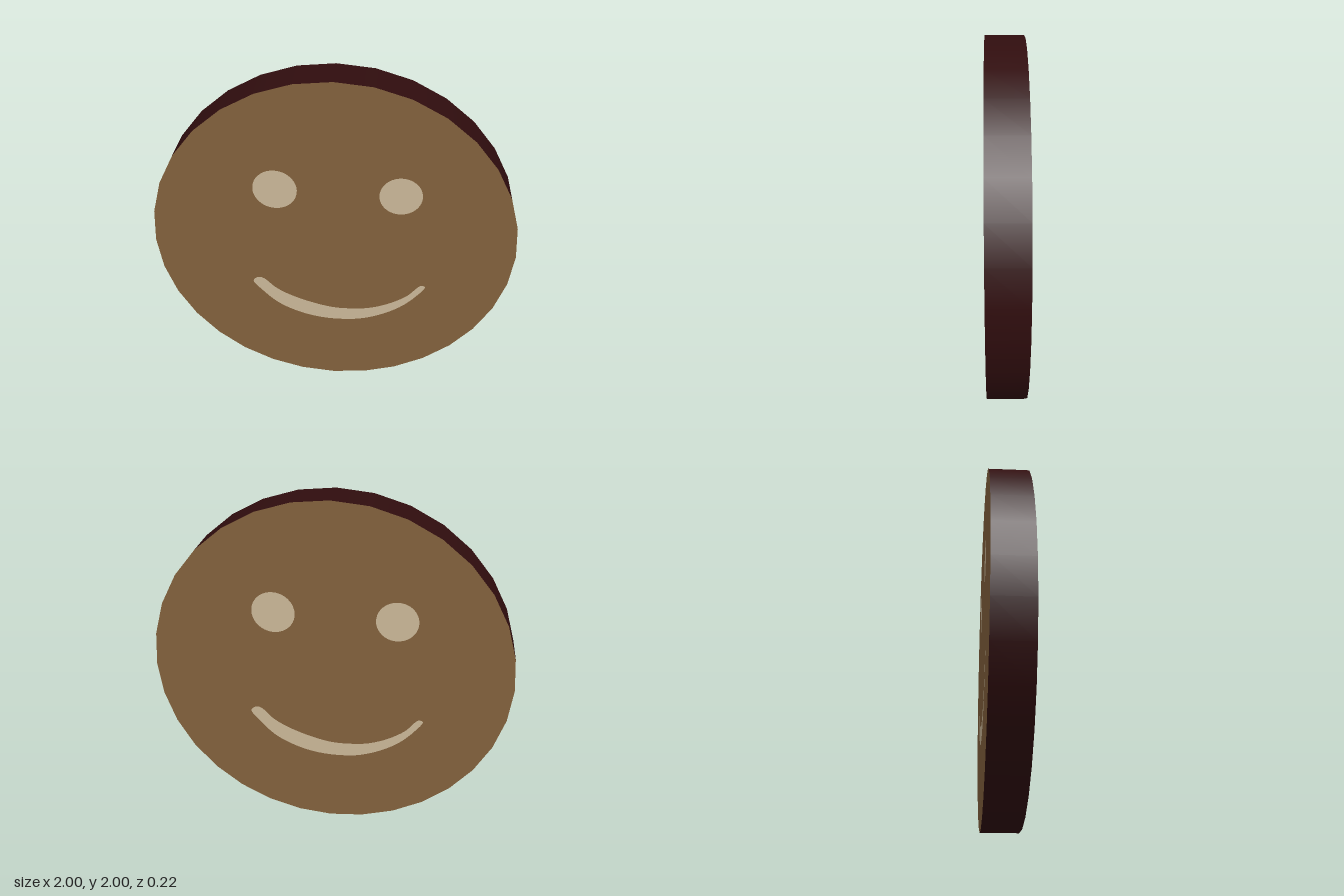
import * as THREE from 'three';

const RADIUS = 1;
const DEPTH = 0.21;

// Closed smooth outline through a few points
function smoothShape(points) {
  const curve = new THREE.CatmullRomCurve3(
    points.map(([x, y]) => new THREE.Vector3(x, y, 0)), true, 'centripetal');
  return new THREE.Shape(curve.getPoints(90).slice(0, -1).map(p => new THREE.Vector2(p.x, p.y)));
}

export function createModel() {
  const brown = new THREE.MeshStandardMaterial({ name: 'biscuit brown', color: 0x82613c });
  const cream = new THREE.MeshStandardMaterial({ name: 'icing cream', color: 0xcab798 });
  const maroon = new THREE.MeshStandardMaterial({ name: 'dark maroon', color: 0x300d0e });

  const model = new THREE.Group();
  model.name = 'smilingDisc';

  // Disc: dark faceted rim with brown front and back
  const discGeometry = new THREE.CylinderGeometry(RADIUS, RADIUS, DEPTH, 32);
  discGeometry.rotateX(Math.PI / 2);
  const disc = new THREE.Mesh(discGeometry, [maroon, brown, brown]);
  disc.name = 'disc';
  disc.position.y = 1;
  model.add(disc);

  // Face details: two eyes and a tapered smile
  const mouthShape = smoothShape([
    [-0.43, 0.763], [-0.463, 0.735], [-0.415, 0.665], [-0.32, 0.57], [-0.2, 0.507],
    [-0.085, 0.475], [0.04, 0.466], [0.17, 0.48], [0.305, 0.533], [0.405, 0.6],
    [0.48, 0.68], [0.526, 0.752], [0.5, 0.76], [0.43, 0.68], [0.33, 0.613],
    [0.22, 0.57], [0.13, 0.557], [0.01, 0.557], [-0.12, 0.587], [-0.255, 0.64],
    [-0.335, 0.69], [-0.4, 0.755],
  ]);
  const details = [
    ['rightEye', new THREE.CircleGeometry(0.118, 40), -0.308, 1.376],
    ['leftEye', new THREE.CircleGeometry(0.113, 40), 0.356, 1.367],
    ['mouth', new THREE.ShapeGeometry(mouthShape), 0, 0],
  ];

  // The same face on both sides, turned half way round for the back
  ['frontFace', 'backFace'].forEach((name, side) => {
    const face = new THREE.Group();
    face.name = name;
    face.rotation.y = side * Math.PI;
    for (const [part, geometry, x, y] of details) {
      const mesh = new THREE.Mesh(geometry, cream);
      mesh.name = part;
      mesh.position.set(x, y, DEPTH / 2 + 0.003);
      face.add(mesh);
    }
    model.add(face);
  });

  return model;
}
